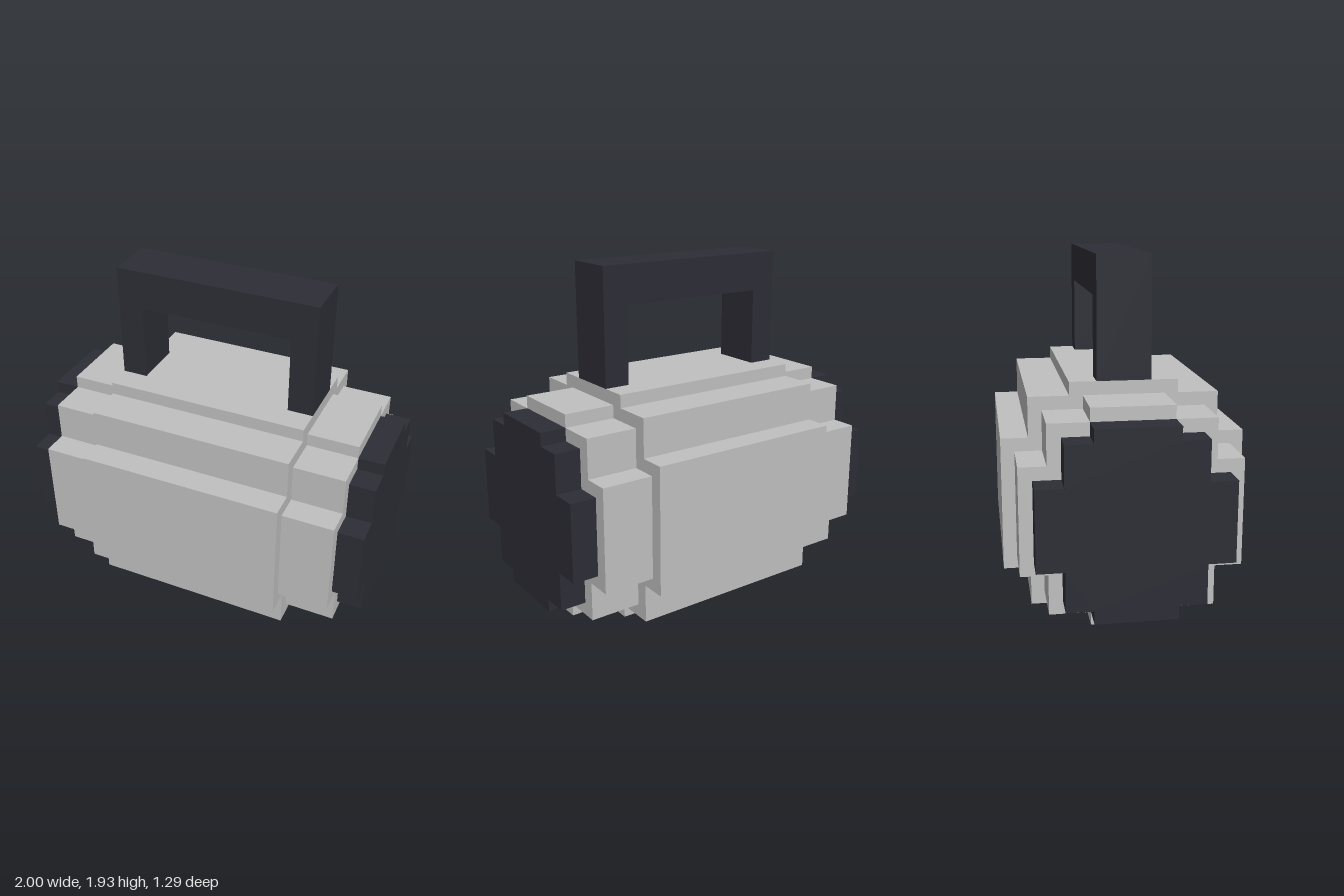
import * as THREE from 'three';

const U = 1 / 14; // one block
const CENTRE_Y = 9 * U;

// Stepped round outline from [halfWidth, halfHeight] pairs, widest first
function steppedShape(steps) {
  const quarter = [];
  steps.forEach(([w, h], i) => {
    quarter.push([w, i ? steps[i - 1][1] : 0], [w, h]);
  });
  quarter.shift(); // drop the point on the axis
  const back = [...quarter].reverse();
  const points = [
    ...quarter,
    ...back.map(([w, h]) => [-w, h]),
    ...quarter.map(([w, h]) => [-w, -h]),
    ...back.map(([w, h]) => [w, -h]),
  ];
  return new THREE.Shape(points.map(([w, h]) => new THREE.Vector2(w * U, h * U)));
}

// Extrude an outline along x, centred at x
function drum(name, steps, length, x, material) {
  const geometry = new THREE.ExtrudeGeometry(steppedShape(steps), {
    depth: length * U, bevelEnabled: false,
  });
  geometry.translate(0, 0, -length * U / 2);
  geometry.rotateY(Math.PI / 2);
  const mesh = new THREE.Mesh(geometry, material);
  mesh.name = name;
  mesh.position.set(x * U, CENTRE_Y, 0);
  return mesh;
}

export function createModel() {
  const silver = new THREE.MeshStandardMaterial({ color: 0xc0c0c0 });
  silver.name = 'silver';
  const charcoal = new THREE.MeshStandardMaterial({ color: 0x2d2d36 });
  charcoal.name = 'charcoal';

  const model = new THREE.Group();
  model.name = 'canister';

  // Main barrel
  model.add(drum('barrel', [[9, 5], [7, 8], [4, 9]], 16, 0, silver));

  // Collars and end caps on both sides
  for (const [side, s] of [['left', 1], ['right', -1]]) {
    model.add(drum(side + 'Collar', [[8, 4], [6, 7], [3, 8]], 4, s * 10, silver));
    model.add(drum(side + 'EndCap', [[7, 3], [5, 6], [3, 7]], 2, s * 13, charcoal));
  }

  // Carrying handle: an arch standing on the barrel
  const arch = new THREE.Shape([
    [-8, 18], [-6, 18], [-6, 24], [6, 24], [6, 18], [8, 18], [8, 27], [-8, 27],
  ].map(([x, y]) => new THREE.Vector2(x * U, y * U)));
  const handleGeometry = new THREE.ExtrudeGeometry(arch, { depth: 4 * U, bevelEnabled: false });
  handleGeometry.translate(0, 0, -2 * U);
  const handle = new THREE.Mesh(handleGeometry, charcoal);
  handle.name = 'handle';
  model.add(handle);

  return model;
}
